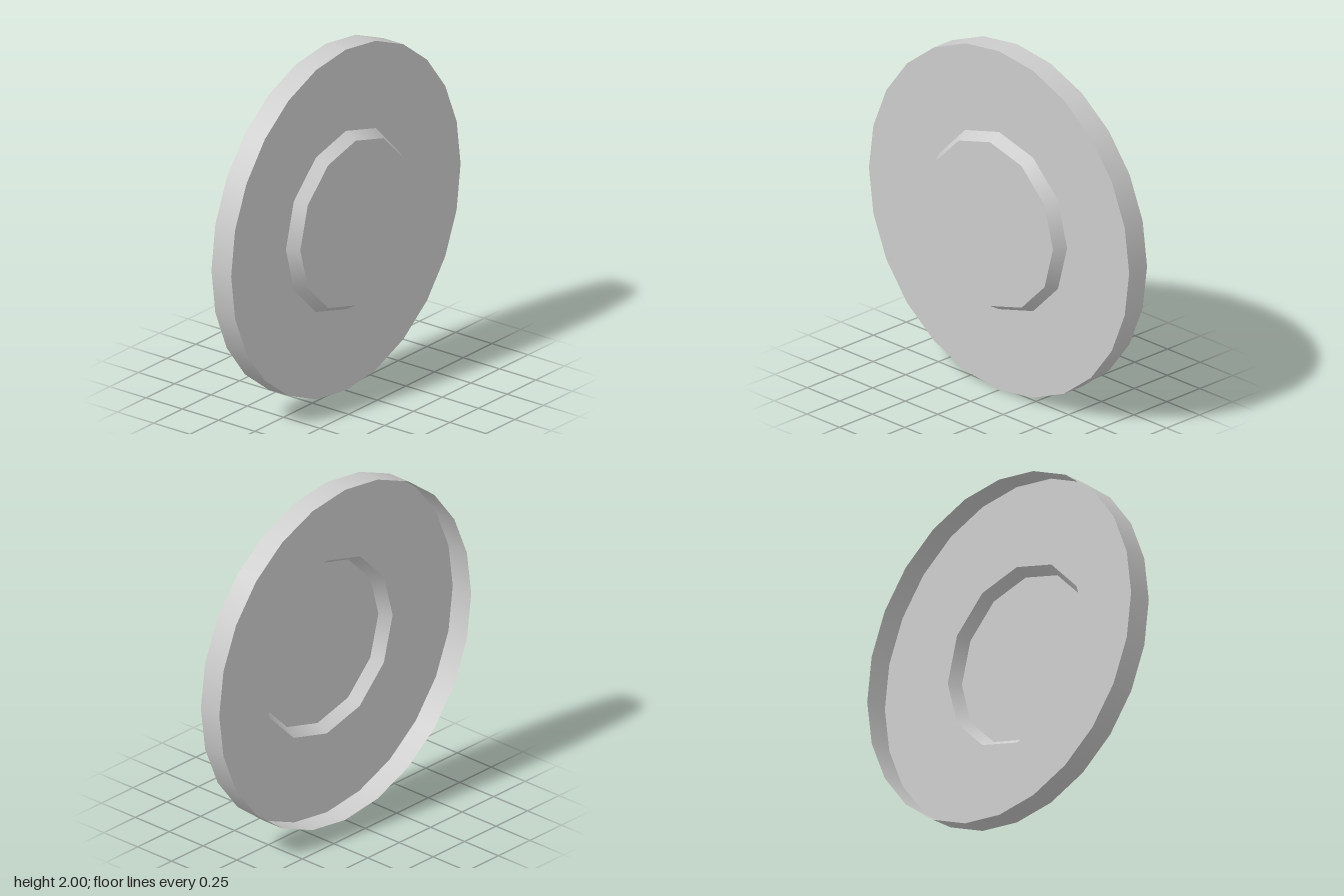
import * as THREE from 'three';

export function createModel() {
  const model = new THREE.Group();
  const grey = new THREE.MeshStandardMaterial({ color: 0xcccccc, side: THREE.DoubleSide });
  grey.name = 'light grey';

  const BACK = -0.102, FACE = 0.034, CAP = 0.102;
  const DISC_R = 1, BOSS_R = 0.523, CAP_R = 0.483;

  const add = (name, geometry) => {
    const mesh = new THREE.Mesh(geometry, grey);
    mesh.name = name;
    mesh.position.y = 1;
    model.add(mesh);
  };

  // Open smooth wall around the z axis, from z0 (radius r0) to z1 (radius r1)
  const wall = (r0, r1, z0, z1, sides) =>
    new THREE.CylinderGeometry(r1, r0, z1 - z0, sides, 1, true)
      .rotateX(Math.PI / 2)
      .translate(0, 0, (z0 + z1) / 2);

  // Regular polygon with a corner at the top
  const polygon = (r, sides) => Array.from({ length: sides }, (_, i) => {
    const a = Math.PI / 2 + (i / sides) * Math.PI * 2;
    return new THREE.Vector2(r * Math.cos(a), r * Math.sin(a));
  });

  // Thin shell, open at the back
  add('rim', wall(DISC_R, DISC_R, BACK, FACE, 24));

  // Flat face with an opening where the boss rises
  const face = new THREE.Shape(polygon(DISC_R, 24));
  face.holes.push(new THREE.Path(polygon(BOSS_R, 12).reverse()));
  add('face', new THREE.ShapeGeometry(face).translate(0, 0, FACE));

  // Raised, tapered boss, hollow from behind
  add('bossWall', wall(BOSS_R, CAP_R, FACE, CAP, 12));
  add('bossCap', new THREE.ShapeGeometry(new THREE.Shape(polygon(CAP_R, 12))).translate(0, 0, CAP));

  return model;
}
